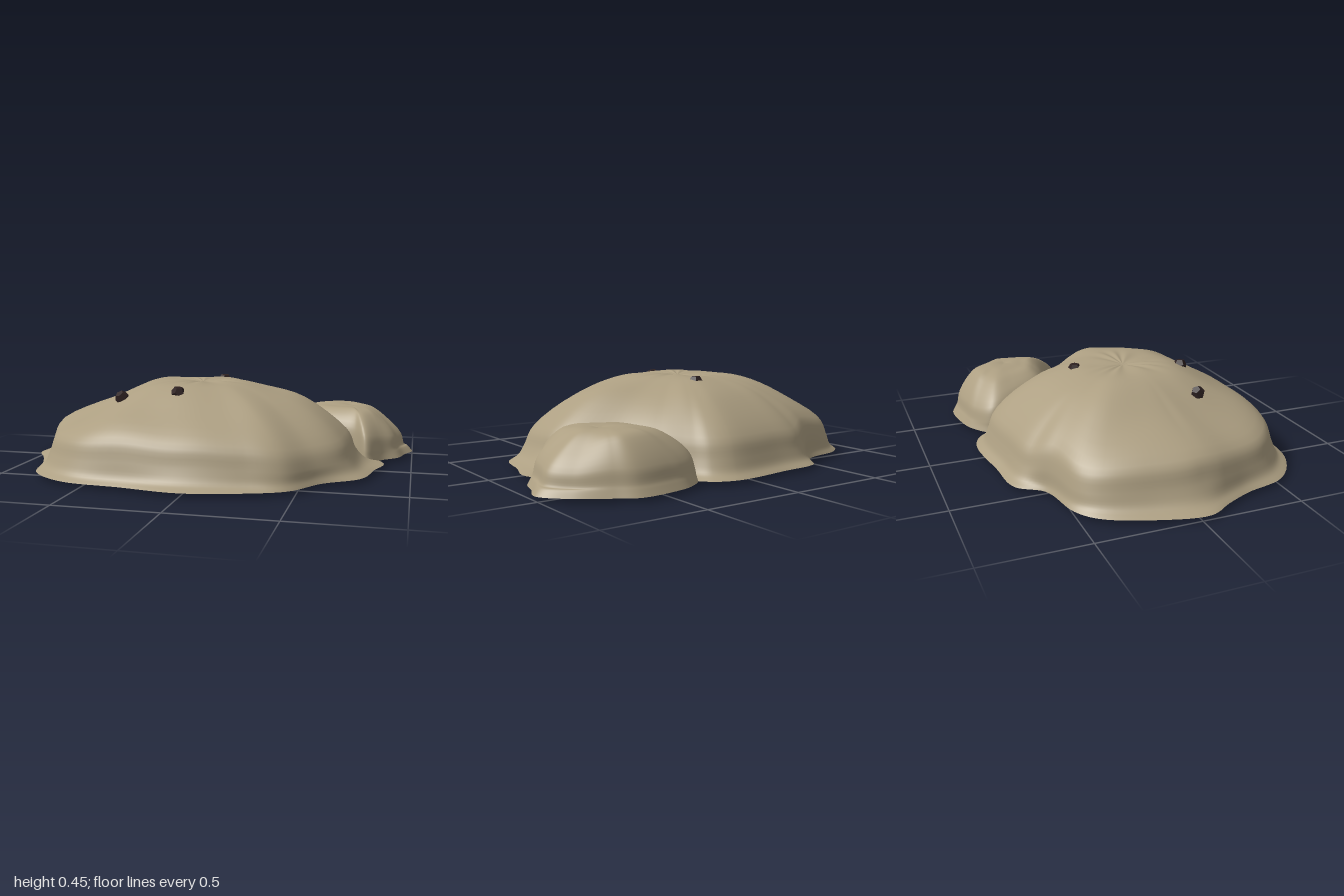
import * as THREE from 'three';

const stone = new THREE.MeshStandardMaterial({ color: 0xad9f82 });
stone.name = 'sandy stone';
const dark = new THREE.MeshStandardMaterial({ color: 0x2e2121, flatShading: true });
dark.name = 'dark pebble';

// Stations around the outline: [x, z, shoulder inset, shoulder height, mid height]
const BODY = [
  [0.86, -0.10, 0.83, 0.20, 0.37], [0.82, 0.08, 0.89, 0.19, 0.37],
  [0.77, 0.28, 0.91, 0.18, 0.36], [0.60, 0.42, 0.97, 0.18, 0.35],
  [0.47, 0.60, 0.96, 0.18, 0.34], [0.30, 0.68, 0.92, 0.20, 0.34],
  [0.00, 0.75, 0.89, 0.21, 0.345], [-0.30, 0.71, 0.92, 0.22, 0.345],
  [-0.60, 0.67, 0.91, 0.21, 0.33], [-0.80, 0.52, 0.91, 0.20, 0.31],
  [-0.87, 0.30, 0.94, 0.20, 0.31], [-0.93, 0.17, 0.93, 0.21, 0.315],
  [-1.00, 0.04, 0.88, 0.22, 0.32], [-0.95, -0.20, 0.90, 0.21, 0.335],
  [-0.85, -0.42, 0.93, 0.20, 0.345], [-0.75, -0.50, 0.95, 0.20, 0.35],
  [-0.52, -0.56, 0.97, 0.22, 0.365], [-0.42, -0.68, 0.91, 0.19, 0.36],
  [-0.20, -0.71, 0.92, 0.19, 0.36], [0.10, -0.74, 0.92, 0.19, 0.365],
  [0.22, -0.70, 0.91, 0.19, 0.365], [0.29, -0.63, 0.90, 0.19, 0.37],
  [0.45, -0.53, 0.83, 0.20, 0.36], [0.66, -0.36, 0.78, 0.20, 0.36],
];
const LOBE = [
  [1.00, -0.48, 0.86, 0.11, 0.21], [0.96, -0.36, 0.90, 0.12, 0.22],
  [0.93, -0.26, 0.92, 0.13, 0.23], [0.86, -0.19, 0.96, 0.14, 0.25],
  [0.77, -0.09, 0.98, 0.15, 0.25], [0.70, -0.17, 0.99, 0.18, 0.27],
  [0.54, -0.22, 0.99, 0.19, 0.27], [0.40, -0.28, 0.98, 0.19, 0.27],
  [0.31, -0.45, 0.98, 0.18, 0.26], [0.26, -0.62, 0.97, 0.15, 0.25],
  [0.36, -0.71, 0.94, 0.13, 0.24], [0.45, -0.74, 0.92, 0.13, 0.25],
  [0.65, -0.755, 0.91, 0.13, 0.25], [0.75, -0.70, 0.92, 0.13, 0.24],
  [0.90, -0.60, 0.89, 0.11, 0.21],
];

const N = 168, RINGS = 32, EDGE = 0.02;
const vec = (x, y, z = 0) => new THREE.Vector3(x, y, z);

function geometryFrom(positions, index) {
  const g = new THREE.BufferGeometry();
  g.setAttribute('position', new THREE.Float32BufferAttribute(positions, 3));
  g.setIndex(index);
  g.computeVertexNormals();
  return g;
}

// Lumpy mound: a profile swept round a closed outline, plus a shallow underside
function mound(name, cx, cz, stations, top, wrinkle) {
  const outline = new THREE.CatmullRomCurve3(stations.map(s => vec(s[0], 0, s[1])), true);
  const shape = new THREE.CatmullRomCurve3(stations.map(s => vec(s[2], s[3], s[4])), true);
  const pos = [], idx = [], under = [], underIdx = [];

  for (let i = 0; i < N; i++) {
    const edge = outline.getPoint(i / N);
    const { x: s, y: h, z: mid } = shape.getPoint(i / N);
    const dx = edge.x - cx, dz = edge.z - cz, angle = Math.atan2(dz, dx);
    const profile = new THREE.CatmullRomCurve3([
      vec(1, EDGE), vec(s + (1 - s) * 0.4, 0.05), vec(s, h * 0.55), vec(s * 0.95, h),
      vec(s * 0.65, mid), vec(s * 0.38, mid + (top - mid) * 0.87), vec(s * 0.18, top), vec(0, top - 0.006),
    ]);
    for (let j = 0; j < RINGS; j++) {
      const p = profile.getPoint(j / RINGS);
      const x = cx + dx * p.x, z = cz + dz * p.x;
      // gentle lumps over the surface and fine folds around the summit
      const fade = Math.min(1, (p.y - EDGE) / 0.1);
      const lumps = 0.005 * Math.sin(9 * x + 2) * Math.sin(8 * z + 1) + 0.003 * Math.sin(17 * x - 9 * z);
      const folds = wrinkle * Math.sin(11 * angle + 2 * Math.sin(3 * angle)) * Math.exp(-(((p.x - 0.15) / 0.1) ** 2));
      pos.push(x, p.y + lumps * fade + folds, z);
    }
    under.push(edge.x, EDGE, edge.z);
  }
  const apex = pos.length / 3;
  pos.push(cx, top - 0.008, cz);
  under.push(cx, 0, cz);

  for (let i = 0; i < N; i++) {
    const k = (i + 1) % N, a = i * RINGS, b = k * RINGS;
    for (let j = 0; j < RINGS - 1; j++) {
      idx.push(a + j, a + j + 1, b + j, b + j, a + j + 1, b + j + 1);
    }
    idx.push(a + RINGS - 1, apex, b + RINGS - 1);
    underIdx.push(N, i, k);
  }

  const group = new THREE.Group();
  group.name = name;
  const upper = new THREE.Mesh(geometryFrom(pos, idx), stone);
  upper.name = name + 'Surface';
  const base = new THREE.Mesh(geometryFrom(under, underIdx), stone);
  base.name = name + 'Underside';
  group.add(upper, base);
  return group;
}

export function createModel() {
  const model = new THREE.Group();
  model.name = 'rockMound';
  model.add(mound('mainRock', -0.08, 0.0, BODY, 0.44, 0.003));
  model.add(mound('sideLobe', 0.66, -0.44, LOBE, 0.28, 0));

  // Dark pebbles half sunk in the top
  [[-0.445, 0.368, 0.245], [-0.13, 0.408, 0.30], [-0.02, 0.418, -0.24]].forEach(([x, y, z], i) => {
    const pebble = new THREE.Mesh(new THREE.DodecahedronGeometry(0.036), dark);
    pebble.name = 'pebble' + (i + 1);
    pebble.position.set(x, y, z);
    pebble.rotation.set(i * 0.7, i * 1.3, 0.4);
    model.add(pebble);
  });
  return model;
}
